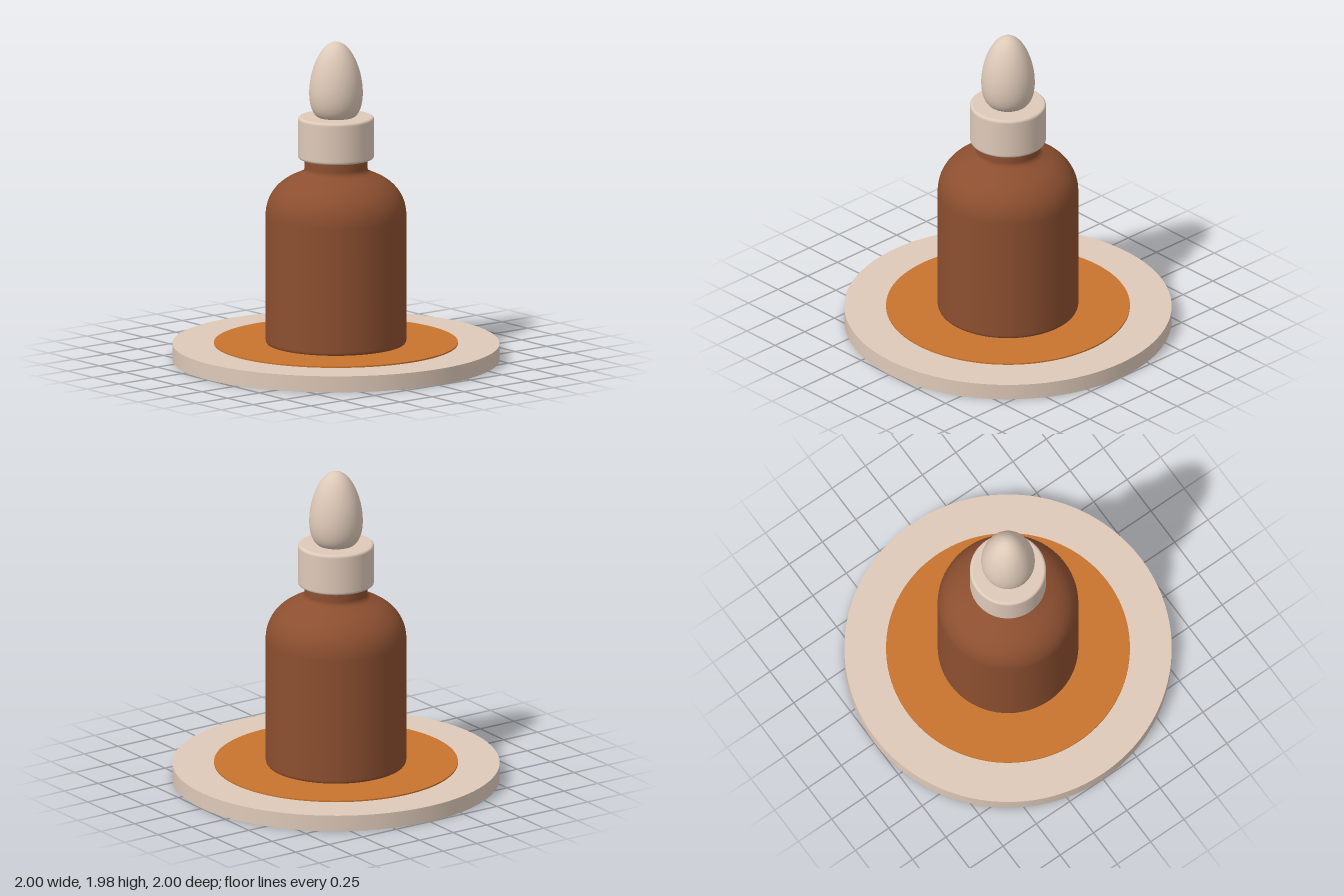
import * as THREE from 'three';

export function createModel() {
  const group = new THREE.Group();
  group.name = 'dropperBottleOnTray';

  const material = (name, color) => {
    const m = new THREE.MeshStandardMaterial({ color });
    m.name = name;
    return m;
  };
  const cream = material('cream', 0xdec9b8);
  const brown = material('brown', 0x8c4f30);
  const orange = material('orange', 0xc8742e);

  const add = (name, geometry, mat, y = 0) => {
    const mesh = new THREE.Mesh(geometry, mat);
    mesh.name = name;
    mesh.position.y = y;
    group.add(mesh);
  };
  // Profiles run from the bottom axis up to the top axis
  const lathe = (path) => new THREE.LatheGeometry(path.getPoints(14), 72);

  // Round tray with a thin coloured inlay
  add('tray', new THREE.CylinderGeometry(1, 1, 0.1, 96), cream, 0.05);
  add('trayInlay', new THREE.CylinderGeometry(0.745, 0.745, 0.009, 96), orange, 0.1045);

  // Bottle with rounded foot, domed shoulder and narrow neck
  const bottle = new THREE.Path();
  bottle.moveTo(0, 0.102);
  bottle.lineTo(0.405, 0.102);
  bottle.quadraticCurveTo(0.43, 0.102, 0.43, 0.13);
  bottle.lineTo(0.43, 0.9);
  bottle.bezierCurveTo(0.43, 1.01, 0.37, 1.09, 0.28, 1.135);
  bottle.lineTo(0.22, 1.163);
  bottle.quadraticCurveTo(0.192, 1.176, 0.192, 1.2);
  bottle.lineTo(0.192, 1.27);
  add('bottle', lathe(bottle), brown);

  // Screw collar with softened rims
  const collar = new THREE.Path();
  collar.moveTo(0, 1.255);
  collar.lineTo(0.213, 1.255);
  collar.quadraticCurveTo(0.233, 1.255, 0.233, 1.275);
  collar.lineTo(0.233, 1.495);
  collar.quadraticCurveTo(0.233, 1.515, 0.213, 1.515);
  collar.lineTo(0, 1.515);
  add('collar', lathe(collar), cream);

  // Egg-shaped squeeze bulb
  const bulb = new THREE.Path();
  bulb.moveTo(0, 1.505);
  bulb.lineTo(0.09, 1.505);
  bulb.bezierCurveTo(0.14, 1.515, 0.164, 1.58, 0.164, 1.665);
  bulb.bezierCurveTo(0.164, 1.8, 0.095, 1.98, 0, 1.98);
  add('bulb', lathe(bulb), cream);

  return group;
}
